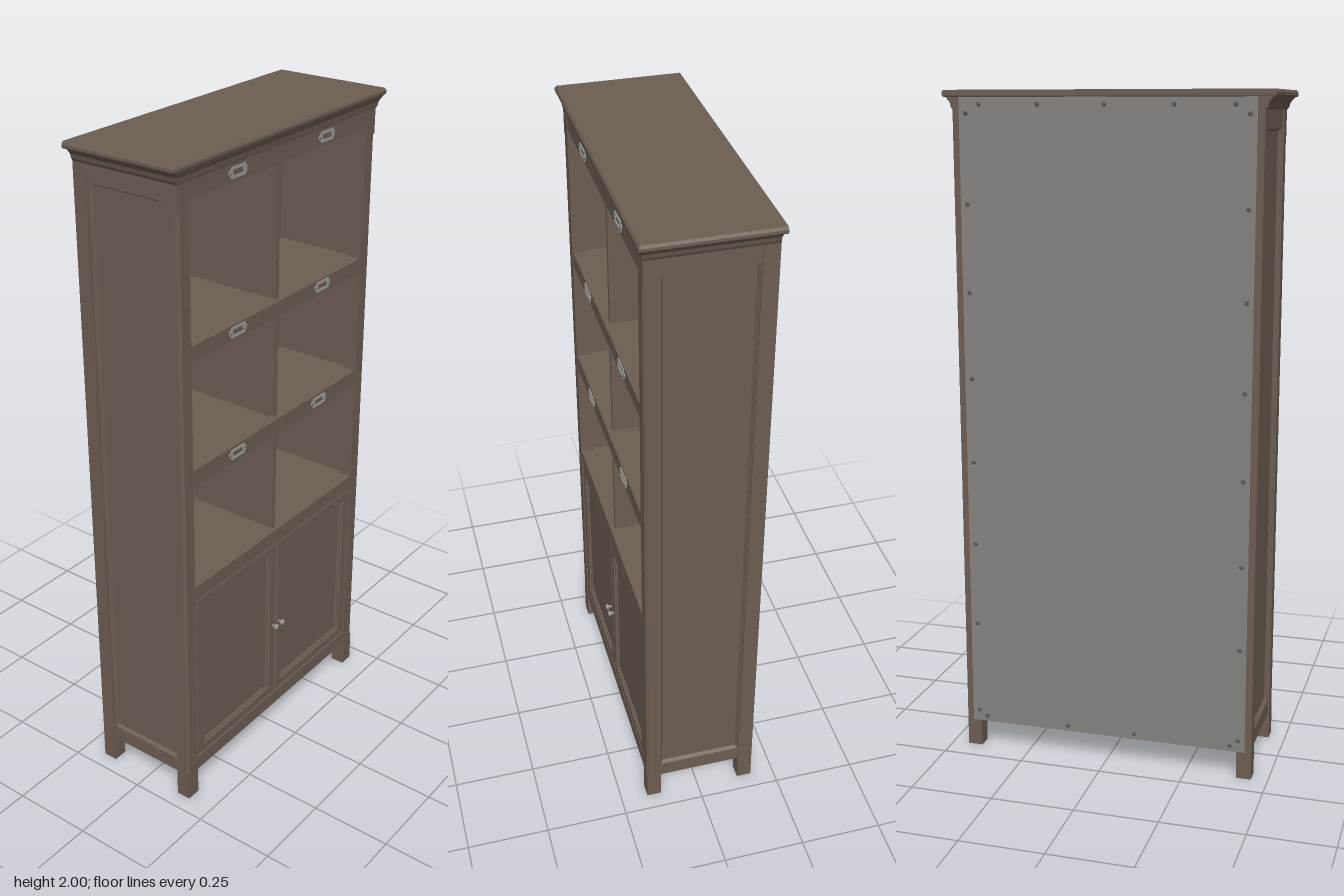
import * as THREE from 'three';

const wood = new THREE.MeshStandardMaterial({ color: 0x6b5d52 });
wood.name = 'brown wood';
const backing = new THREE.MeshStandardMaterial({ color: 0x85827e });
backing.name = 'grey backing board';
const metal = new THREE.MeshStandardMaterial({ color: 0x969694 });
metal.name = 'brushed metal';
const screwMetal = new THREE.MeshStandardMaterial({ color: 0x5c5a58 });
screwMetal.name = 'dark screw metal';

// Skin between four-cornered rings, closed at the last ring (and optionally the first)
function loft(rings, capStart = false) {
  const p = [];
  const quad = (a, b, c, d) => p.push(...a, ...b, ...c, ...a, ...c, ...d);
  for (let r = 0; r < rings.length - 1; r++) {
    const a = rings[r], b = rings[r + 1];
    for (let i = 0; i < 4; i++) {
      const j = (i + 1) % 4;
      quad(a[i], a[j], b[j], b[i]);
    }
  }
  quad(...rings[rings.length - 1]);
  if (capStart) quad(...[...rings[0]].reverse());
  const g = new THREE.BufferGeometry();
  g.setAttribute('position', new THREE.Float32BufferAttribute(p, 3));
  g.computeVertexNormals();
  return g;
}

// Framed panel facing +z; steps are [inset, depth] pairs from the rim inwards
function framedPanel(w, h, steps) {
  return loft(steps.map(([inset, z]) => {
    const x = w / 2 - inset, y = h / 2 - inset;
    return [[-x, -y, z], [x, -y, z], [x, y, z], [-x, y, z]];
  }));
}

export function createModel() {
  const model = new THREE.Group();
  model.name = 'bookcase';

  const add = (name, geometry, material, x = 0, y = 0, z = 0, parent = model) => {
    const m = new THREE.Mesh(geometry, material);
    m.name = name;
    m.position.set(x, y, z);
    parent.add(m);
    return m;
  };
  // Box given by its limits on each axis
  const box = (name, x0, x1, y0, y1, z0, z1, material = wood) =>
    add(name, new THREE.BoxGeometry(x1 - x0, y1 - y0, z1 - z0), material,
      (x0 + x1) / 2, (y0 + y1) / 2, (z0 + z1) / 2);

  // Chamfered length of a front post, drawn in plan (x, -z)
  const plan = new THREE.Shape([
    [0.405, -0.122], [0.405, -0.167], [0.443, -0.167], [0.45, -0.160], [0.45, -0.122],
  ].map(([x, y]) => new THREE.Vector2(x, y)));
  const chamfered = new THREE.ExtrudeGeometry(plan, { depth: 1.77, bevelEnabled: false });
  chamfered.rotateX(-Math.PI / 2);
  const chamferedMirror = new THREE.ExtrudeGeometry(
    new THREE.Shape(plan.getPoints().map((v) => new THREE.Vector2(-v.x, v.y))),
    { depth: 1.77, bevelEnabled: false });
  chamferedMirror.rotateX(-Math.PI / 2);

  for (const s of [-1, 1]) {
    const side = s > 0 ? 'left' : 'right';
    const sideBox = (name, xa, xb, ...rest) =>
      box(side + name, Math.min(s * xa, s * xb), Math.max(s * xa, s * xb), ...rest);

    // Corner posts running down into the feet
    sideBox('FrontFoot', 0.405, 0.45, 0, 0.1, 0.122, 0.167);
    add(side + 'FrontPost', s > 0 ? chamfered : chamferedMirror, wood, 0, 0.1, 0);
    sideBox('FrontPostTop', 0.405, 0.45, 1.87, 1.95, 0.122, 0.167);
    sideBox('BackPost', 0.405, 0.45, 0, 1.98, -0.177, -0.132);

    // Side rails, recessed side panel and its lining
    sideBox('LowerSideRail', 0.415, 0.446, 0.085, 0.13, -0.132, 0.122);
    sideBox('UpperSideRail', 0.415, 0.446, 1.895, 1.95, -0.132, 0.122);
    const panel = add(side + 'SidePanel',
      framedPanel(0.254, 1.765, [[0, 0], [0.002, 0], [0.008, -0.01]]),
      wood, s * 0.444, 1.0125, -0.005);
    panel.rotation.y = s * Math.PI / 2;
    sideBox('SideLining', 0.416, 0.433, 0.13, 1.895, -0.132, 0.122);
  }

  // Front rails
  for (const [y0, y1] of [[0.085, 0.13], [0.703, 0.75], [1.08, 1.13], [1.455, 1.5], [1.895, 1.95]])
    box('frontRail', -0.405, 0.405, y0, y1, 0.14, 0.165);

  // Bottom board, shelves and ceiling
  for (const [name, y] of [['bottomBoard', 0.128], ['shelf', 0.749], ['shelf', 1.129],
    ['shelf', 1.499], ['ceiling', 1.93]])
    box(name, -0.417, 0.417, y - 0.022, y, -0.17, 0.142);

  // Centre divider
  box('centreDivider', -0.007, 0.007, 0.125, 1.91, -0.17, 0.15);

  // Back: wooden lining inside, plain board outside
  box('backLining', -0.43, 0.43, 0.087, 1.975, -0.176, -0.17);
  box('backBoard', -0.43, 0.43, 0.085, 1.98, -0.1805, -0.1755, backing);

  // Cornice: moulded on the front and sides, flush at the back
  const cornice = [
    [1.945, 0.451, 0.168, -0.175], [1.953, 0.456, 0.170, -0.175], [1.965, 0.459, 0.172, -0.175],
    [1.975, 0.467, 0.177, -0.175], [1.98, 0.471, 0.179, -0.175], [1.981, 0.476, 0.181, -0.182],
    [1.985, 0.480, 0.183, -0.183], [1.993, 0.480, 0.183, -0.183], [2.0, 0.475, 0.178, -0.183],
  ].map(([y, x, zf, zb]) => [[-x, y, zf], [x, y, zf], [x, y, zb], [-x, y, zb]]);
  add('cornice', loft(cornice, true), wood);

  // Doors with mitred, moulded frames and small knobs
  const doorFace = framedPanel(0.399, 0.569,
    [[0, -0.02], [0, -0.003], [0.004, 0], [0.03, 0], [0.033, -0.005], [0.038, -0.005], [0.041, -0.01]]);
  const knobProfile = [[0.004, 0], [0.004, 0.008], [0.009, 0.011], [0.01, 0.015], [0.007, 0.019], [0, 0.02]]
    .map(([r, y]) => new THREE.Vector2(r, y));
  const knob = new THREE.LatheGeometry(knobProfile, 16).rotateX(Math.PI / 2);
  for (const s of [-1, 1]) {
    add('door', doorFace, wood, s * 0.2015, 0.4165, 0.164);
    box('doorBack', s * 0.2015 - 0.199, s * 0.2015 + 0.199, 0.133, 0.7, 0.142, 0.152);
    add('doorKnob', knob, metal, s * 0.016, 0.4, 0.164);
  }

  // Label holders: a slotted frame with an ear and rivet on each end
  const rect = (T, w, h) => new T([[-w, -h], [w, -h], [w, h], [-w, h]]
    .map(([x, y]) => new THREE.Vector2(x / 2, y / 2)));
  const frame = rect(THREE.Shape, 0.06, 0.03);
  frame.holes.push(rect(THREE.Path, 0.048, 0.017));
  const frameGeo = new THREE.ExtrudeGeometry(frame, { depth: 0.004, bevelEnabled: false });
  const earGeo = new THREE.CylinderGeometry(0.009, 0.009, 0.003, 12).rotateX(Math.PI / 2);
  const rivetGeo = new THREE.SphereGeometry(0.003, 8, 6);
  for (const y of [1.107, 1.48, 1.921])
    for (const x of [-0.203, 0.203]) {
      const holder = new THREE.Group();
      holder.name = 'labelHolder';
      holder.position.set(x, y, 0.165);
      add('holderFrame', frameGeo, metal, 0, 0, 0, holder);
      for (const s of [-1, 1]) {
        add('holderEar', earGeo, metal, s * 0.031, 0, 0.0015, holder);
        add('holderRivet', rivetGeo, screwMetal, s * 0.035, 0, 0.003, holder);
      }
      model.add(holder);
    }

  // Screws around the edge of the back board
  const screwGeo = new THREE.CylinderGeometry(0.007, 0.005, 0.005, 10).rotateX(Math.PI / 2);
  const screw = (x, y) => add('backScrew', screwGeo, screwMetal, x, y, -0.183);
  for (const s of [-1, 1]) {
    for (let i = 0; i < 8; i++) screw(s * 0.41, 0.15 + i * 0.255 - (i ? 0 : 0.03));
    screw(s * 0.37, 1.96);
    screw(s * 0.385, 0.102);
  }
  for (const x of [-0.2, 0, 0.195]) screw(x, 1.96);
  for (const x of [-0.09, 0.12]) screw(x, 0.102);

  return model;
}
